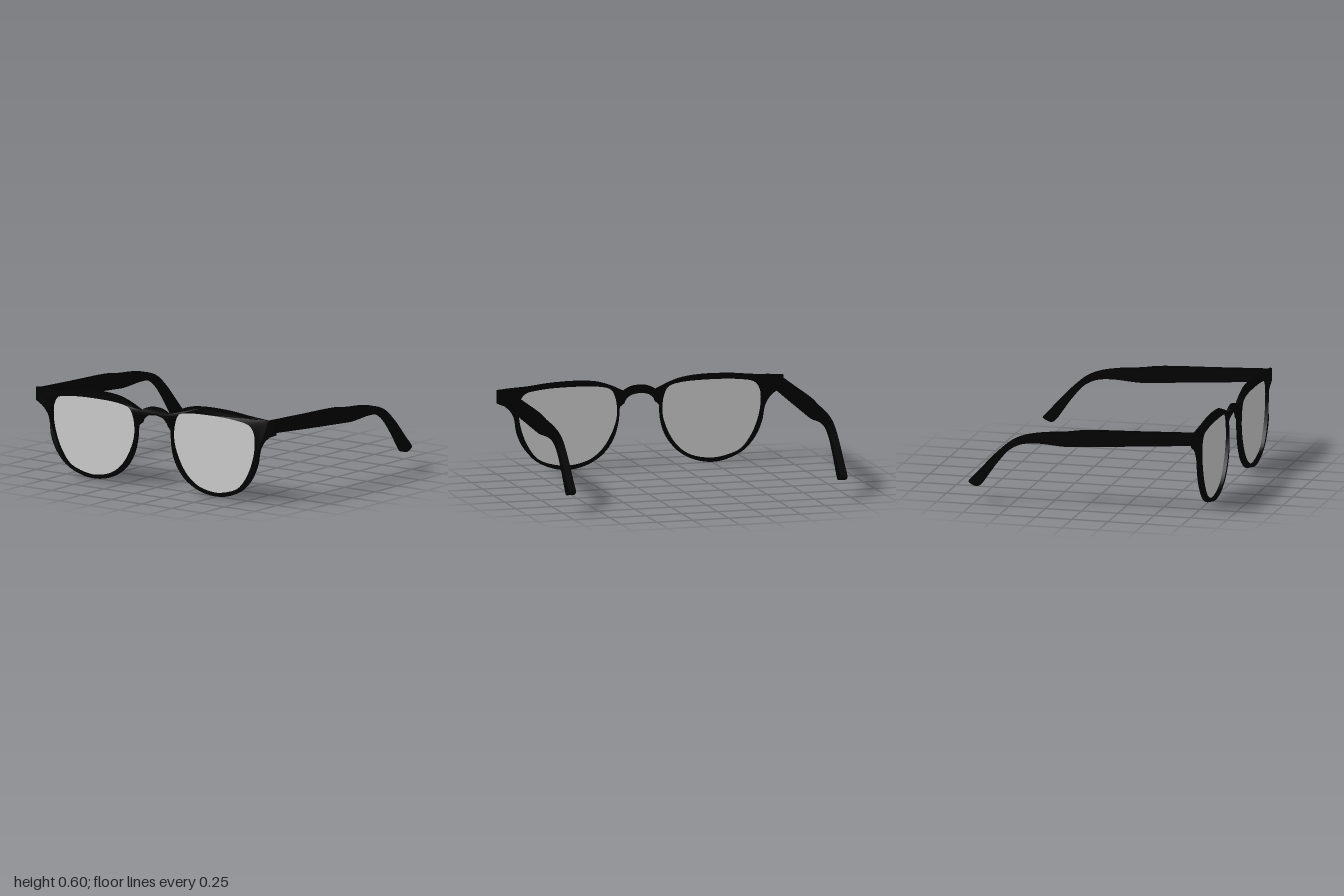
import * as THREE from 'three';
import { toCreasedNormals } from 'three/addons/utils/BufferGeometryUtils.js';

const black = new THREE.MeshStandardMaterial({ color: 0x000000 });
const grey = new THREE.MeshStandardMaterial({ color: 0xcccccc, side: THREE.DoubleSide });

// Smooth 2D points through a few control points
function smooth(points, count, closed = false) {
  const curve = new THREE.CatmullRomCurve3(points.map(([x, y]) => new THREE.Vector3(x, y, 0)), closed);
  const result = curve.getPoints(count).map(p => new THREE.Vector2(p.x, p.y));
  if (closed) result.pop();
  return result;
}
const mirrorX = points => points.map(p => new THREE.Vector2(-p.x, p.y)).reverse();

// Left half of the front: bridge top and brow, then rim and bridge underside
const bridgeTop = [[0, 0.548], [0.045, 0.544], [0.085, 0.53], [0.112, 0.514]];
const brow = [[0.112, 0.514], [0.155, 0.535], [0.21, 0.56], [0.3, 0.588], [0.42, 0.6], [0.55, 0.6],
  [0.66, 0.594], [0.76, 0.583], [0.85, 0.575], [0.92, 0.57], [1, 0.565]];
const endPiece = [[1, 0.478], [0.985, 0.47]];
const rim = [[0.94, 0.452], [0.9, 0.415], [0.87, 0.36], [0.85, 0.26], [0.805, 0.16], [0.73, 0.075],
  [0.62, 0.02], [0.5, 0], [0.36, 0.03], [0.25, 0.1], [0.18, 0.2], [0.148, 0.31], [0.14, 0.405]];
const bridgeUnder = [[0.125, 0.418], [0.108, 0.43], [0.098, 0.453], [0.06, 0.483], [0, 0.494]];
const lensOutline = smooth([[0.157, 0.35], [0.168, 0.47], [0.2, 0.527], [0.275, 0.55], [0.49, 0.56],
  [0.7, 0.55], [0.8, 0.527], [0.837, 0.473], [0.842, 0.377], [0.82, 0.27], [0.773, 0.163],
  [0.703, 0.078], [0.6, 0.038], [0.49, 0.026], [0.355, 0.055], [0.265, 0.12], [0.195, 0.227]], 72, true);

function frontFrame() {
  const half = [...smooth(bridgeTop, 10), ...smooth(brow, 40).slice(1),
    ...endPiece.map(p => new THREE.Vector2(...p)), ...smooth(rim, 60), ...smooth(bridgeUnder, 12)];
  // Counter-clockwise outline, so the walls of the lens openings face inwards
  const shape = new THREE.Shape([...half, ...mirrorX(half).slice(1, -1)].reverse());
  shape.holes.push(new THREE.Path(lensOutline), new THREE.Path(mirrorX(lensOutline)));
  const geometry = new THREE.ExtrudeGeometry(shape, { depth: 0.035, bevelEnabled: false });
  geometry.translate(0, 0, 0.755);

  // Thinner bridge and end pieces, with the front face drawn in slightly
  const pos = geometry.attributes.position;
  for (let i = 0; i < pos.count; i++) {
    if (pos.getZ(i) < 0.77) continue;
    const x = pos.getX(i), ax = Math.abs(x);
    const raised = THREE.MathUtils.smoothstep(ax, 0.11, 0.16) * (1 - THREE.MathUtils.smoothstep(ax, 0.84, 0.89));
    pos.setZ(i, 0.772 + 0.018 * raised);
    pos.setY(i, THREE.MathUtils.lerp(pos.getY(i), 0.3, 0.03 * raised));
    if (ax > 0.95) pos.setX(i, x * 0.985);
  }
  return toCreasedNormals(geometry, 0.6);
}

// Temple side profile, as z and y
function templeArm() {
  const top = smooth([[0.76, 0.565], [0.4, 0.551], [0, 0.535], [-0.12, 0.518], [-0.29, 0.502],
    [-0.415, 0.476], [-0.5, 0.437], [-0.605, 0.348], [-0.7, 0.246], [-0.785, 0.155]], 48);
  const tip = smooth([[-0.79, 0.143], [-0.765, 0.126], [-0.73, 0.116], [-0.712, 0.122]], 8);
  const under = smooth([[-0.695, 0.142], [-0.65, 0.207], [-0.6, 0.276], [-0.52, 0.367], [-0.458, 0.408],
    [-0.395, 0.428], [-0.3, 0.434], [-0.205, 0.428], [-0.12, 0.423], [0, 0.43], [0.4, 0.458], [0.76, 0.485]], 48);
  const shape = new THREE.Shape([...top, ...tip, ...under]);
  const geometry = new THREE.ExtrudeGeometry(shape, { depth: 0.05, bevelEnabled: false });
  geometry.rotateY(-Math.PI / 2).translate(0.025, 0, 0);
  return toCreasedNormals(geometry, 0.6);
}

export function createModel() {
  const model = new THREE.Group();
  model.name = 'glasses';
  const add = (name, geometry, material, x = 0, z = 0) => {
    const mesh = new THREE.Mesh(geometry, material);
    mesh.name = name;
    mesh.position.set(x, 0, z);
    model.add(mesh);
  };

  add('frontFrame', frontFrame(), black);

  const arm = templeArm();
  for (const [side, sign] of [['left', 1], ['right', -1]]) {
    const outline = sign > 0 ? lensOutline : mirrorX(lensOutline);
    add(side + 'Lens', new THREE.ShapeGeometry(new THREE.Shape(outline)), grey, 0, 0.765);
    add(side + 'Temple', arm, black, sign * 0.945);
  }
  return model;
}
